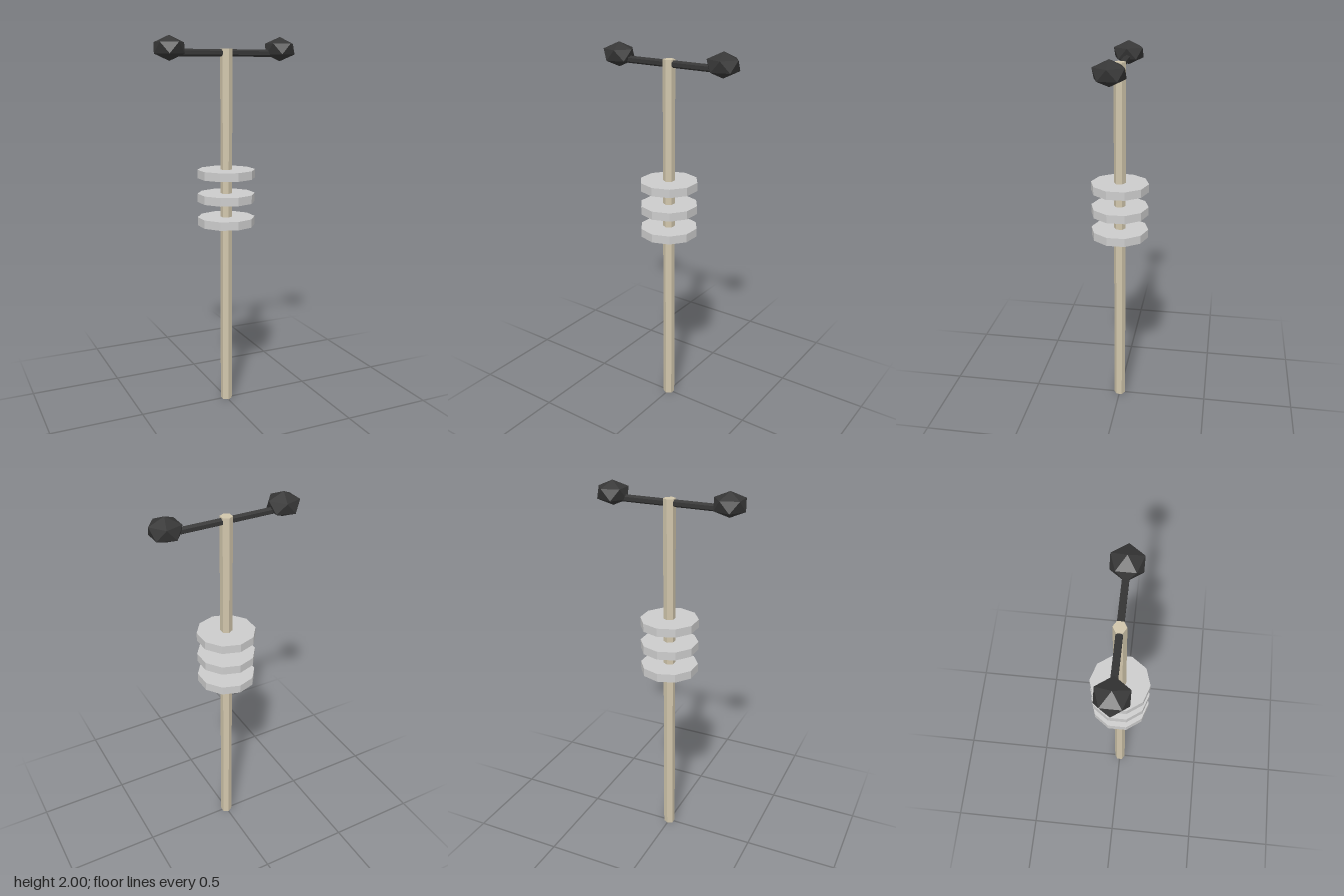
import * as THREE from 'three';

export function createModel() {
  const model = new THREE.Group();
  const material = (name, color) => {
    const m = new THREE.MeshStandardMaterial({ color, flatShading: true });
    m.name = name;
    return m;
  };
  const wood = material('pale wood', 0xd0c5ab);
  const ceramic = material('light grey', 0xcccccc);
  const iron = material('dark iron', 0x363636);

  const add = (name, geometry, mat, x, y) => {
    const mesh = new THREE.Mesh(geometry, mat);
    mesh.name = name;
    mesh.position.set(x, y, 0);
    model.add(mesh);
  };

  // Hexagonal pole
  const poleHeight = 1.937;
  add('pole', new THREE.CylinderGeometry(0.0315, 0.0315, poleHeight, 6), wood, 0, poleHeight / 2);

  // Stack of three ten-sided discs
  const disc = new THREE.CylinderGeometry(0.154, 0.154, 0.045, 10);
  for (let i = 0; i < 3; i++) add(`disc${i + 1}`, disc, ceramic, 0, 1.036 + i * 0.128);

  // Crossbar with an edge on top
  const bar = new THREE.CylinderGeometry(0.0185, 0.0185, 0.62, 6, 1, false, Math.PI / 2);
  bar.rotateZ(Math.PI / 2);
  add('crossbar', bar, iron, 0, 1.915);

  // Flattened end knobs, turned so that one corner points up
  const knob = new THREE.IcosahedronGeometry(0.0894, 0);
  knob.rotateZ(-Math.atan(2 / (1 + Math.sqrt(5))));
  knob.scale(1, 0.7, 1);
  add('leftKnob', knob, iron, 0.31, 1.9365);
  add('rightKnob', knob, iron, -0.31, 1.9365);

  return model;
}
